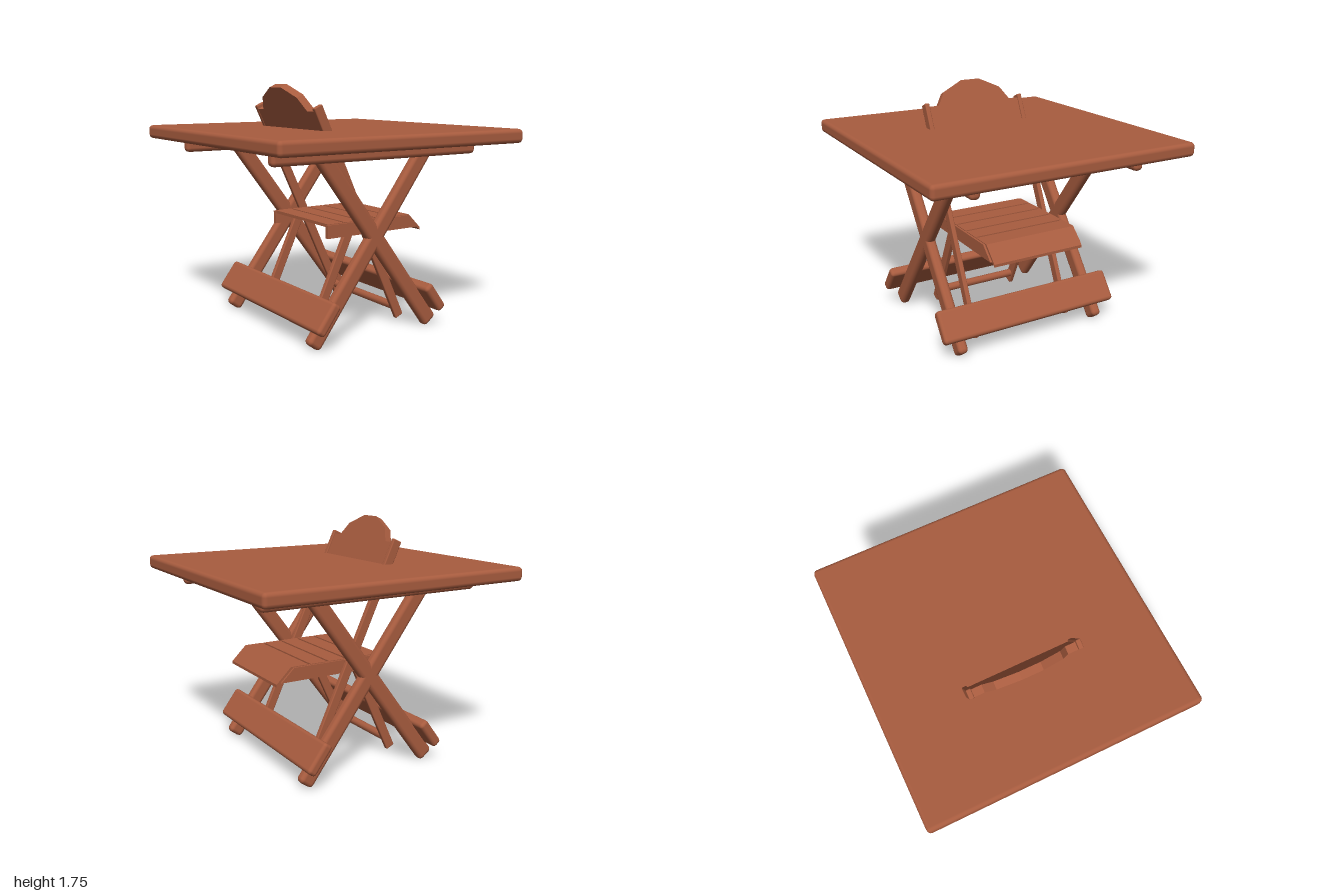
import * as THREE from 'three';
import { RoundedBoxGeometry } from 'three/addons/geometries/RoundedBoxGeometry.js';

const wood = new THREE.MeshStandardMaterial({ color: 0xa85c3f });

function add(parent, name, geometry, x = 0, y = 0, z = 0, tilt = 0) {
  const mesh = new THREE.Mesh(geometry, wood);
  mesh.name = name;
  mesh.position.set(x, y, z);
  mesh.rotation.z = tilt;
  parent.add(mesh);
  return mesh;
}

const rounded = (w, h, d, r) => new RoundedBoxGeometry(w, h, d, 2, r);

// Rounded bar running from a to b in the xy plane
function bar(parent, name, a, b, width, depth, z, r) {
  const dx = b[0] - a[0], dy = b[1] - a[1];
  add(parent, name, rounded(width, Math.hypot(dx, dy), depth, r),
    (a[0] + b[0]) / 2, (a[1] + b[1]) / 2, z, -Math.atan2(dx, dy));
}

// Flat outline extruded symmetrically about z = 0
function plate(points, depth) {
  const shape = new THREE.Shape(points.map(p => new THREE.Vector2(...p)));
  return new THREE.ExtrudeGeometry(shape, { depth, bevelEnabled: false }).translate(0, 0, -depth / 2);
}

function createTable() {
  const table = new THREE.Group();
  table.name = 'table';
  add(table, 'tableTop', rounded(2, 0.1, 1.98, 0.03), 0, 1.39, 0);

  for (const s of [-1, 1]) {
    add(table, 'topRail', rounded(1.71, 0.12, 0.075, 0.03), 0, 1.31, s * 0.628);
    // Crossed legs
    for (const m of [-1, 1]) {
      bar(table, 'tableLeg', [-m * 0.516, 0.022], [m * 0.49, 1.363], 0.12, 0.075, s * 0.568, 0.03);
    }
    // Foot board lying along the outer side of the legs
    add(table, 'footBoard', rounded(0.075, 0.235, 1.42, 0.025), s * 0.463, 0.233, 0, s * 0.6435);
  }
  return table;
}

function createChair() {
  const chair = new THREE.Group();
  chair.name = 'chair';
  const foot = [0.375, 0.035], lean = 0.463;
  const along = y => [foot[0] - lean * (y - foot[1]), y];
  const tilt = Math.atan(lean);

  for (const s of [-1, 1]) {
    bar(chair, 'backPost', foot, along(1.605), 0.07, 0.035, s * 0.392, 0.008);
    bar(chair, 'frontLeg', [-foot[0] + 0.01, foot[1]], [-0.04, 0.74], 0.07, 0.035, s * 0.338, 0.008);
    // Seat side rail with a sloping front end
    add(chair, 'seatRail',
      plate([[-0.25, 0.69], [0.57, 0.69], [0.47, 0.785], [-0.25, 0.785]], 0.03), 0, 0, s * 0.357);
  }

  // Stretchers near the floor
  for (const [x, length] of [[along(0.115)[0], 0.75], [-0.328, 0.66]]) {
    add(chair, 'stretcher', new THREE.CylinderGeometry(0.03, 0.03, length, 10).rotateX(Math.PI / 2), x, 0.115, 0);
  }

  // Seat slats and the sloping front lip
  const count = 5, pitch = 0.74 / count;
  for (let i = 0; i < count; i++) {
    add(chair, 'seatSlat', new THREE.BoxGeometry(pitch - 0.018, 0.022, 0.716), -0.25 + pitch * (i + 0.5), 0.779, 0);
  }
  add(chair, 'seatLip', plate([[0.47, 0.77], [0.6, 0.662], [0.6, 0.682], [0.49, 0.79], [0.47, 0.79]], 0.716));

  // Crested back panel, outlined in z and height along the posts
  const outline = [[0.38, 1.36], [0.38, 1.59], [0.3, 1.59], [0.235, 1.68], [0.075, 1.75]];
  const mirrored = outline.map(([z, y]) => [-z, y]).reverse();
  const slope = Math.cos(tilt);
  const points = [...outline, ...mirrored].map(([z, y]) => [z, (y - 1.36) / slope]);
  const [px, py] = along(1.36);
  add(chair, 'backPanel', plate(points, 0.055).rotateY(Math.PI / 2), px, py - 0.01, 0, tilt);
  return chair;
}

export function createModel() {
  const model = new THREE.Group();
  model.name = 'foldingTableAndChair';
  model.add(createTable(), createChair());
  return model;
}
